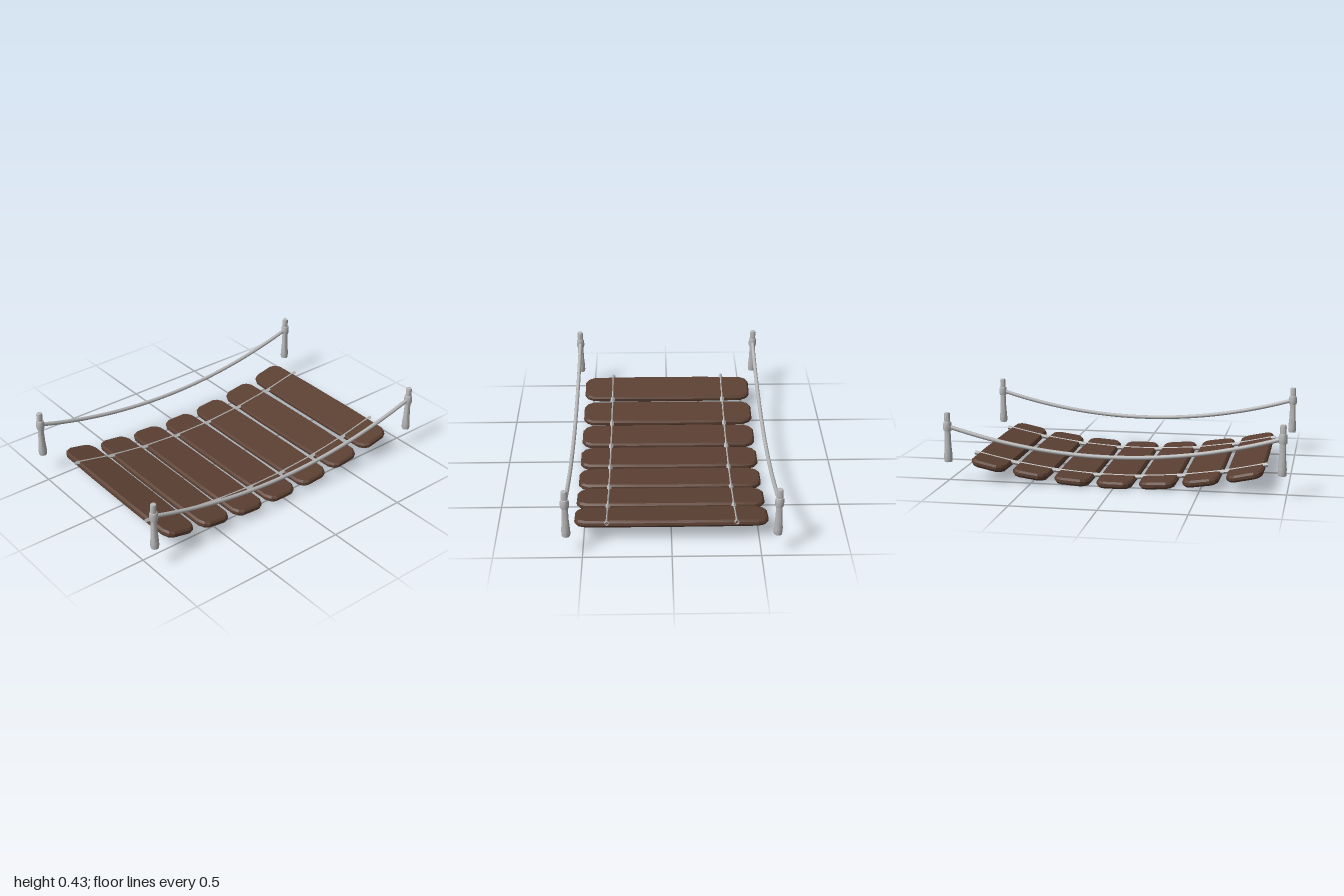
import * as THREE from 'three';
import { toCreasedNormals } from 'three/addons/utils/BufferGeometryUtils.js';

const wood = new THREE.MeshStandardMaterial({ color: 0x5c4033 });
wood.name = 'dark wood';
const grey = new THREE.MeshStandardMaterial({ color: 0xb8b8b8 });
grey.name = 'light grey';

const deckY = (z) => 0.022 + 0.142 * z * z;
const railY = (z) => 0.2 + 0.155 * z * z;

// Sagging line along z, sampled from a height rule
function sagTube(height, halfLength, radius, sides) {
  const points = [];
  for (let i = 0; i <= 16; i++) {
    const z = halfLength * (i / 8 - 1);
    points.push(new THREE.Vector3(0, height(z), z));
  }
  return new THREE.TubeGeometry(new THREE.CatmullRomCurve3(points), 48, radius, sides, false);
}

// Plank outline with cut corners, extruded with bevelled edges
function plankGeometry() {
  const quarter = [[0.54, 0.055], [0.525, 0.08], [0.49, 0.097], [0.2, 0.102]];
  const mirror = (sx, sy) => quarter.map(([x, y]) => new THREE.Vector2(x * sx, y * sy));
  const outline = [
    ...mirror(1, 1), ...mirror(-1, 1).reverse(),
    ...mirror(-1, -1), ...mirror(1, -1).reverse(),
  ];
  const geometry = new THREE.ExtrudeGeometry(new THREE.Shape(outline), {
    depth: 0.016, bevelEnabled: true, bevelThickness: 0.012, bevelSize: 0.01, bevelSegments: 1,
  });
  geometry.translate(0, 0, -0.008);
  geometry.rotateX(-Math.PI / 2);
  return toCreasedNormals(geometry, 0.4);
}

// Turned post with a swollen foot, a collar and a rounded top
function postGeometry() {
  const profile = [
    [0, 0.135], [0.023, 0.135], [0.025, 0.148], [0.025, 0.175], [0.02, 0.23], [0.0175, 0.32],
    [0.023, 0.32], [0.025, 0.33], [0.025, 0.36], [0.022, 0.373], [0.0175, 0.375],
    [0.0185, 0.415], [0.016, 0.427], [0, 0.43],
  ].map(([r, y]) => new THREE.Vector2(r, y));
  return toCreasedNormals(new THREE.LatheGeometry(profile, 12), 0.7);
}

export function createModel() {
  const model = new THREE.Group();
  model.name = 'ropeBridge';
  const add = (name, geometry, material, x = 0, y = 0, z = 0) => {
    const mesh = new THREE.Mesh(geometry, material);
    mesh.name = name;
    mesh.position.set(x, y, z);
    model.add(mesh);
    return mesh;
  };

  // Planks follow the sag of the deck
  const plank = plankGeometry();
  for (let i = -3; i <= 3; i++) {
    const z = i * 0.2525;
    add('plank', plank, wood, 0, deckY(z), z).rotation.x = -Math.atan(0.284 * z);
  }

  // Thin square deck ropes, hand ropes and end posts
  const deckRope = sagTube((z) => deckY(z) + 0.011, 0.88, 0.0135, 4).toNonIndexed();
  deckRope.computeVertexNormals();
  const handRope = sagTube(railY, 0.975, 0.012, 10);
  const post = postGeometry();
  const ropeMaterial = grey.clone();
  ropeMaterial.name = 'rope grey';
  ropeMaterial.side = THREE.DoubleSide;
  for (const side of [-1, 1]) {
    add('deckRope', deckRope, ropeMaterial, side * 0.366);
    add('handRope', handRope, grey, side * 0.587);
    for (const end of [-1, 1]) add('post', post, grey, side * 0.587, 0, end * 0.975);
  }
  return model;
}
